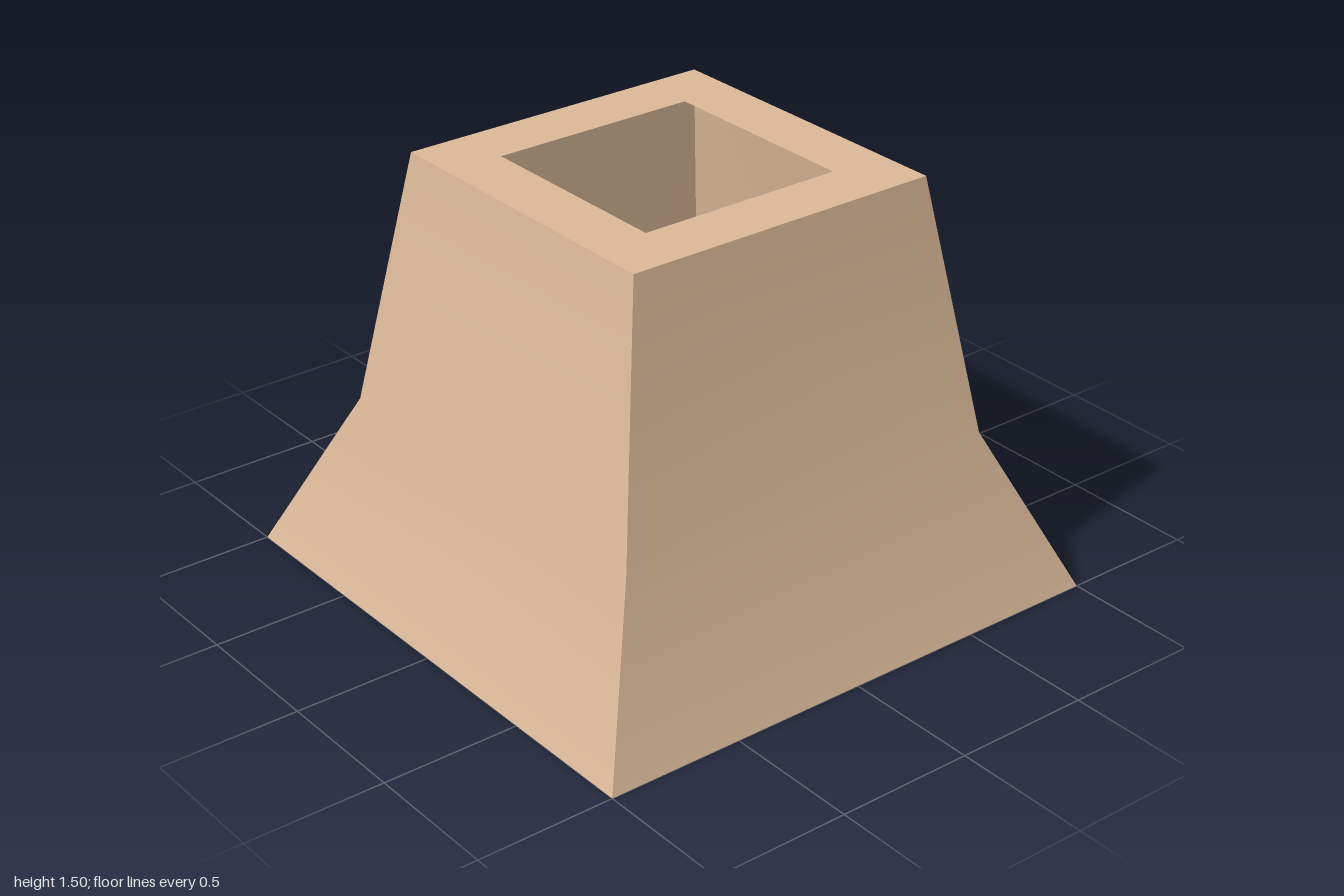
import * as THREE from 'three';

const TOP = 1.497, MID = 0.575;

export function createModel() {
  const group = new THREE.Group();
  const clay = new THREE.MeshStandardMaterial({ color: 0xd9b797, side: THREE.DoubleSide });
  clay.name = 'tan clay';

  const add = (name, geometry) => {
    const mesh = new THREE.Mesh(geometry, clay);
    mesh.name = name;
    group.add(mesh);
    return mesh;
  };

  // Corner profile from base to rim: [half width, height]
  const flared = [[1, 0], [0.745, MID], [0.594, TOP]];
  // The back corner on -x runs straight down, short of the base corner
  const straight = [[0.745, 0], [0.745 + (0.594 - 0.745) * MID / TOP, MID], [0.594, TOP]];
  const corner = (sx, sz, profile) => profile.map(([r, y]) => [sx * r, y, sz * r]);

  const backLow = corner(-1, -1, straight);
  const frontLow = corner(-1, 1, flared);
  const frontHigh = corner(1, 1, flared);
  const backHigh = corner(1, -1, flared);

  // One wall between two corner profiles (a then b, seen from outside left to right)
  const wall = (name, a, b, splitFromB = false) => {
    const geometry = new THREE.BufferGeometry();
    geometry.setAttribute('position', new THREE.Float32BufferAttribute([...a, ...b].flat(), 3));
    // a: 0 1 2 going up, b: 3 4 5 going up
    geometry.setIndex(splitFromB
      ? [0, 3, 1, 1, 3, 4, 1, 4, 5, 1, 5, 2]
      : [0, 3, 4, 0, 4, 1, 1, 4, 2, 2, 4, 5]);
    geometry.computeVertexNormals();
    add(name, geometry);
  };
  wall('frontWall', frontLow, frontHigh);
  wall('leftWall', frontHigh, backHigh);
  wall('backWall', backHigh, backLow, true);
  wall('rightWall', backLow, frontLow);

  // Square outline with half width r
  const square = (r, Type) => new Type([[-r, -r], [r, -r], [r, r], [-r, r]]
    .map(([x, y]) => new THREE.Vector2(x, y)));

  // Thin rim around the square opening
  const rimShape = square(0.594, THREE.Shape);
  rimShape.holes.push(square(0.383, THREE.Path));
  const rim = add('topRim', new THREE.ShapeGeometry(rimShape).rotateX(-Math.PI / 2));
  rim.position.y = TOP;

  // Flat base sheet
  add('base', new THREE.PlaneGeometry(2, 2).rotateX(-Math.PI / 2));

  return group;
}
